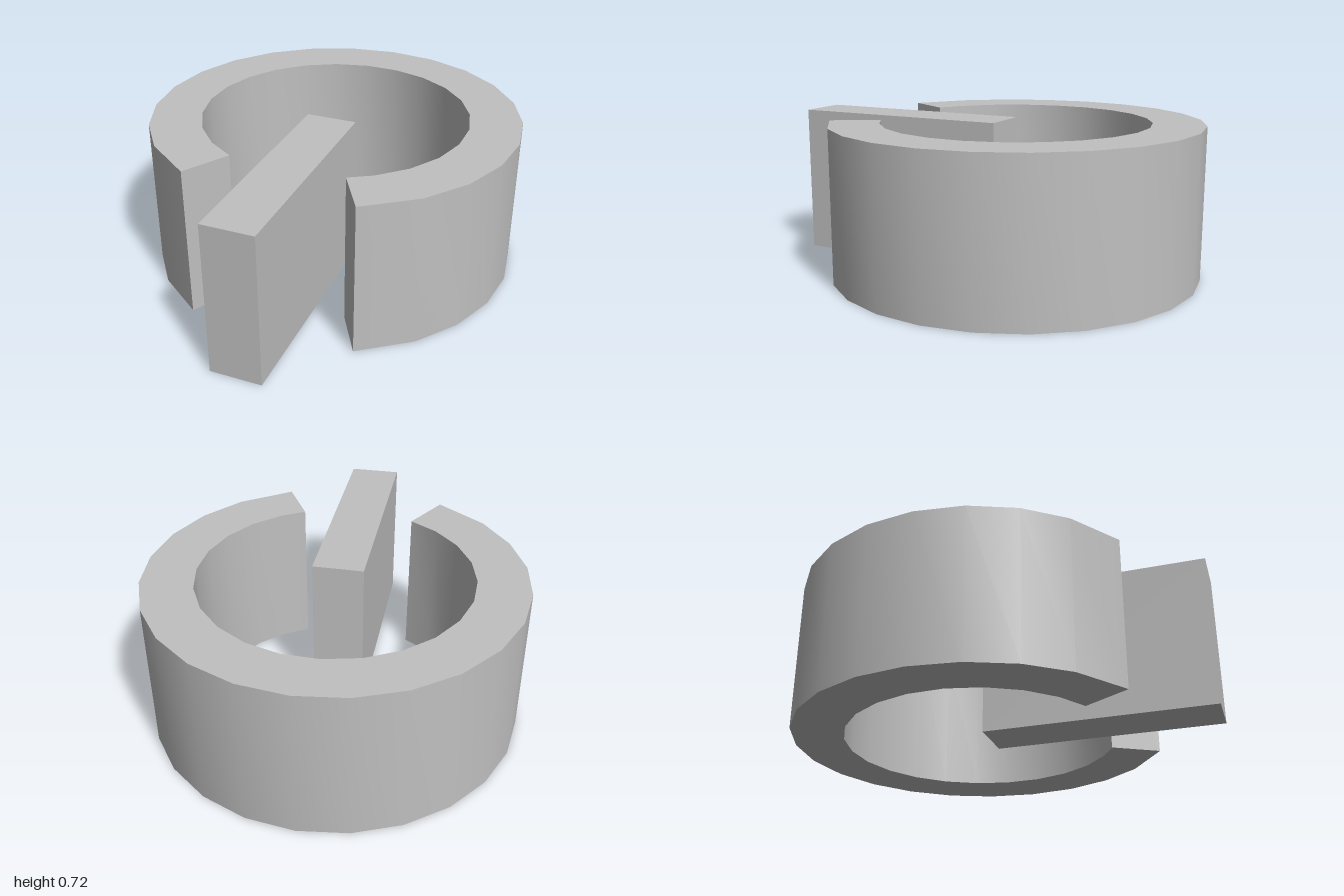
import * as THREE from 'three';
import { toCreasedNormals } from 'three/addons/utils/BufferGeometryUtils.js';

const HEIGHT = 0.72;
const RING_Z = -0.125;

// Point on an arc around the ring centre; angle in degrees, 0 at the back
function arcPoint(radius, degrees) {
  const a = THREE.MathUtils.degToRad(degrees);
  return new THREE.Vector2(radius * Math.sin(a), radius * Math.cos(a) - RING_Z);
}

// Arc with 15 degree facets between two open ends
function arc(radius, end, first, last) {
  const points = [arcPoint(radius, -end)];
  for (let d = first; d <= last; d += 15) points.push(arcPoint(radius, d));
  points.push(arcPoint(radius, end));
  return points;
}

export function createModel() {
  const model = new THREE.Group();
  model.name = 'powerSymbol';
  const grey = new THREE.MeshStandardMaterial({ color: 0xc0c0c0 });
  grey.name = 'grey';

  // Open ring, with the gap at the front
  const outer = arc(0.875, 153.5, -135, 135);
  const inner = arc(0.634, 154.8, -141, 144).reverse();
  const extruded = new THREE.ExtrudeGeometry(new THREE.Shape([...outer, ...inner]), {
    depth: HEIGHT,
    bevelEnabled: false,
  });
  extruded.rotateX(-Math.PI / 2);
  const ring = new THREE.Mesh(toCreasedNormals(extruded, 0.6), grey);
  ring.name = 'openRing';
  model.add(ring);

  // Straight bar passing through the gap
  const bar = new THREE.Mesh(new THREE.BoxGeometry(0.24, HEIGHT, 1.07), grey);
  bar.name = 'bar';
  bar.position.set(0, HEIGHT / 2, 0.465);
  model.add(bar);

  return model;
}
